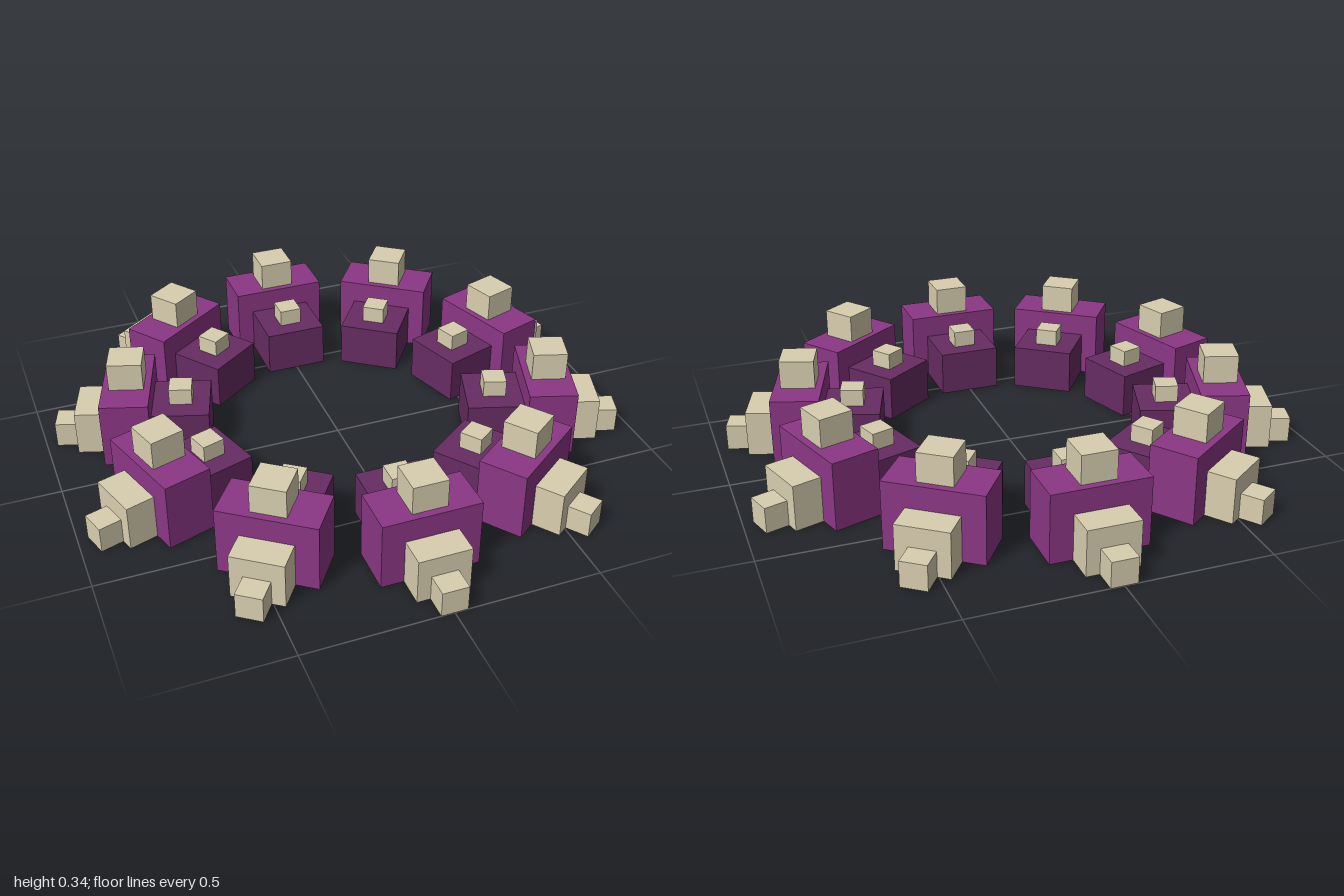
import * as THREE from 'three';

export function createModel() {
  const group = new THREE.Group();
  group.name = 'ringOfBlocks';

  const make = (name, color) => {
    const m = new THREE.MeshStandardMaterial({ color });
    m.name = name;
    return m;
  };
  const purple = make('purple', 0x8b3784);
  const darkPurple = make('darkPurple', 0x672c63);
  const bone = make('bone', 0xd9cfb0);

  // name, material, width, bottom, top, inner radius, outer radius
  const parts = [
    ['mainBlock', purple, 0.335, 0, 0.24, 0.652, 0.82],
    ['innerBlock', darkPurple, 0.22, 0, 0.16, 0.452, 0.652],
    ['topStud', bone, 0.12, 0.24, 0.34, 0.675, 0.795],
    ['innerStud', bone, 0.08, 0.16, 0.22, 0.513, 0.593],
    ['outerStep', bone, 0.18, 0, 0.16, 0.82, 0.92],
    ['outerTip', bone, 0.09, 0, 0.09, 0.92, 1.0],
  ].map(([name, material, w, y0, y1, r0, r1]) => {
    const geometry = new THREE.BoxGeometry(w, y1 - y0, r1 - r0);
    geometry.translate(0, (y0 + y1) / 2, (r0 + r1) / 2);
    return { name, material, geometry };
  });

  // Ten identical segments arranged around the ring
  const count = 10;
  for (let i = 0; i < count; i++) {
    const segment = new THREE.Group();
    segment.name = `segment${i + 1}`;
    segment.rotation.y = (i / count) * Math.PI * 2;
    for (const { name, material, geometry } of parts) {
      const mesh = new THREE.Mesh(geometry, material);
      mesh.name = name;
      segment.add(mesh);
    }
    group.add(segment);
  }
  return group;
}
